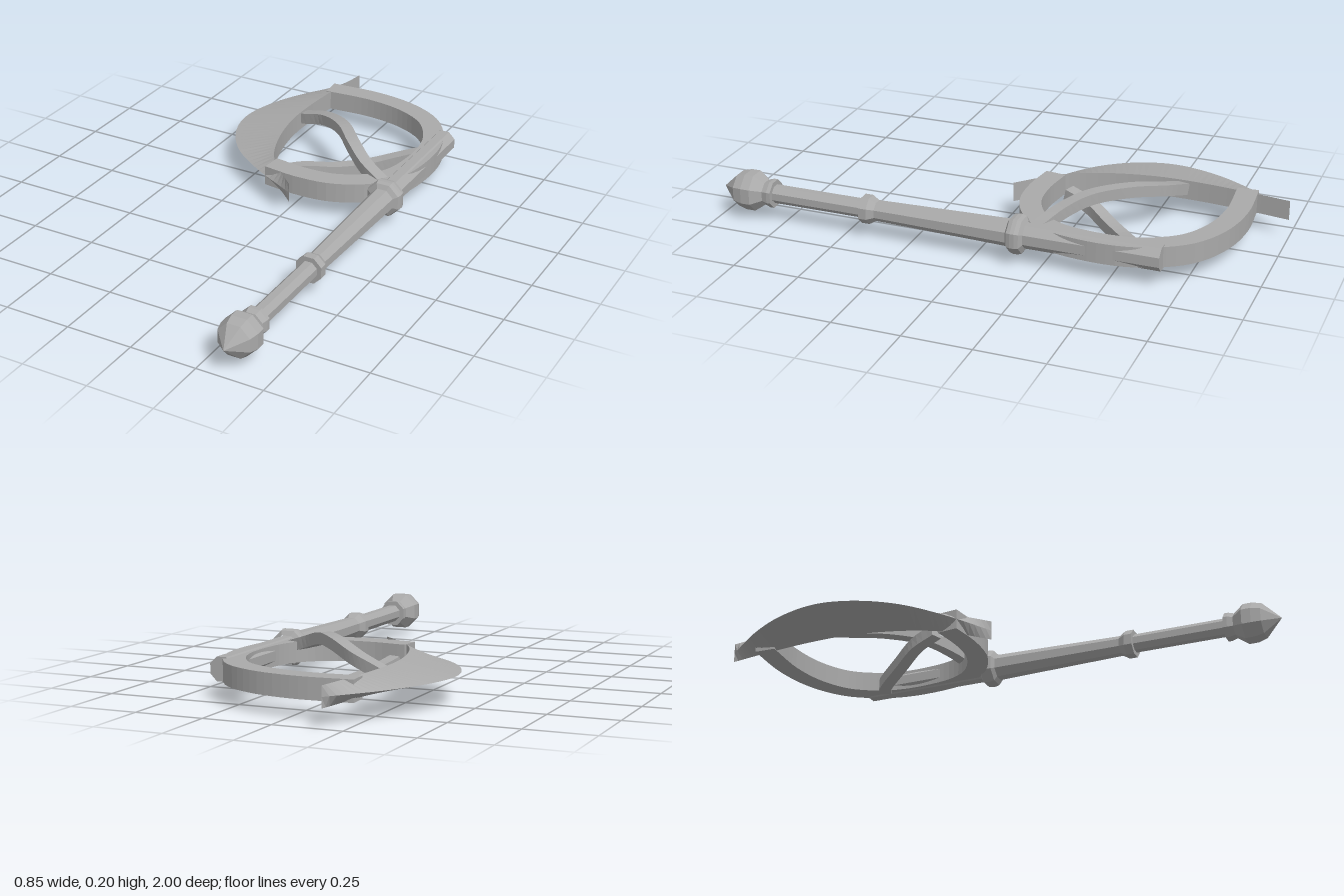
import * as THREE from 'three';

const steel = new THREE.MeshStandardMaterial({ color: 0xaaaaaa, flatShading: true });
steel.name = 'steel';

const AXIS_X = 0.355; // shaft position
const MID_Y = 0.105; // height of the flat middle plane

// Skin over a list of rings (each counterclockwise about the direction of travel)
function loft(rings) {
  const n = rings[0].length;
  const pos = [];
  const tri = (...pts) => pts.forEach((p) => pos.push(p.x, p.y, p.z));
  for (let i = 0; i < rings.length - 1; i++) {
    for (let k = 0; k < n; k++) {
      const j = (k + 1) % n;
      const a = rings[i][k], b = rings[i][j], c = rings[i + 1][j], d = rings[i + 1][k];
      tri(a, b, c);
      tri(a, c, d);
    }
  }
  const first = rings[0], last = rings[rings.length - 1];
  for (let k = 1; k < n - 1; k++) {
    tri(first[0], first[k + 1], first[k]);
    tri(last[0], last[k], last[k + 1]);
  }
  const geo = new THREE.BufferGeometry();
  geo.setAttribute('position', new THREE.Float32BufferAttribute(pos, 3));
  geo.computeVertexNormals();
  return geo;
}

const curveOf = (pts) => new THREE.CatmullRomCurve3(pts.map((p) => new THREE.Vector3(...p)));

// Rectangular bar swept along a curve, kept level across its width
function bar(pts, width, height, steps) {
  const curve = curveOf(pts);
  const up = new THREE.Vector3(0, 1, 0);
  const rings = [];
  for (let i = 0; i <= steps; i++) {
    const p = curve.getPointAt(i / steps);
    const t = curve.getTangentAt(i / steps);
    const s = up.clone().cross(t).normalize();
    const nrm = t.clone().cross(s);
    rings.push([[1, 1], [-1, 1], [-1, -1], [1, -1]].map(([u, v]) =>
      p.clone().addScaledVector(s, u * width / 2).addScaledVector(nrm, v * height / 2)));
  }
  return loft(rings);
}

// Octagonal turned part along z; profile holds [half width across flats, z], z rising
function turned(profile) {
  const k = 1 / Math.cos(Math.PI / 8);
  const geo = new THREE.LatheGeometry(
    profile.map(([r, z]) => new THREE.Vector2(r * k, z)), 8, Math.PI / 8);
  geo.rotateX(Math.PI / 2);
  geo.translate(AXIS_X, MID_Y, 0);
  const flat = geo.toNonIndexed();
  flat.computeVertexNormals();
  return flat;
}

// Crescent with a triangular section: sharp outer edge, thick inner edge
function crescent() {
  const y = MID_Y;
  const outer = curveOf([[-0.175, y, -0.995], [-0.31, y, -0.82], [-0.395, y, -0.66], [-0.43, y, -0.5],
    [-0.4, y, -0.365], [-0.315, y, -0.235], [-0.18, y, -0.13], [0.03, y, -0.015]]);
  const inner = curveOf([[-0.175, y, -0.995], [-0.195, y, -0.86], [-0.217, y, -0.64], [-0.215, y, -0.48],
    [-0.18, y, -0.31], [-0.125, y, -0.18], [-0.05, y, -0.09], [0.03, y, -0.015]]);
  const steps = 48, half = 0.037;
  const rings = [];
  for (let i = 0; i <= steps; i++) {
    const o = outer.getPointAt(i / steps);
    const q = inner.getPointAt(i / steps);
    rings.push([o, q.clone().setY(y - half), q.clone().setY(y + half)]);
  }
  return loft(rings);
}

export function createModel() {
  const model = new THREE.Group();
  model.name = 'battleAxe';
  const add = (name, geo) => {
    const mesh = new THREE.Mesh(geo, steel);
    mesh.name = name;
    model.add(mesh);
  };

  // Shaft, from the head end to the pommel
  add('upperShaft', turned([[0, -0.68], [0.043, -0.68], [0.043, -0.15], [0, -0.15]]));
  add('shaftRing', turned([[0.045, -0.19], [0.062, -0.18], [0.066, -0.165], [0.066, -0.15],
    [0.062, -0.135], [0.045, -0.125]]));
  add('middleShaft', turned([[0, -0.15], [0.046, -0.15], [0.035, 0.38], [0.049, 0.405],
    [0.049, 0.435], [0, 0.435]]));
  add('grip', turned([[0.032, 0.43], [0.032, 0.8]]));
  add('pommelCollar', turned([[0, 0.79], [0.049, 0.79], [0.049, 0.805], [0.042, 0.83], [0, 0.83]]));
  add('pommel', turned([[0.042, 0.825], [0.069, 0.865], [0.069, 0.9], [0.06, 0.935], [0, 1]]));

  // Axe head
  add('blade', crescent());
  const frame = [[-0.225, -0.83], [-0.024, -0.84], [0.135, -0.81], [0.257, -0.74], [0.33, -0.63],
    [0.357, -0.53], [0.357, -0.4], [0.335, -0.29], [0.28, -0.2], [0.16, -0.13], [0.03, -0.115], [-0.11, -0.13]];
  add('headFrame', bar(frame.map(([x, z]) => [x, MID_Y, z]), 0.079, 0.076, 48));

  // Two crossing braces that bow above and below the head
  add('upperBrace', bar([[-0.215, 0.112, -0.59], [-0.1, 0.15, -0.55], [0.03, 0.182, -0.45],
    [0.13, 0.178, -0.34], [0.22, 0.15, -0.265], [0.31, 0.122, -0.22]], 0.046, 0.042, 24));
  add('lowerBrace', bar([[-0.08, 0.085, -0.19], [-0.05, 0.063, -0.28], [0.03, 0.03, -0.39],
    [0.13, 0.027, -0.49], [0.22, 0.05, -0.55], [0.32, 0.08, -0.6]], 0.046, 0.042, 24));

  return model;
}
